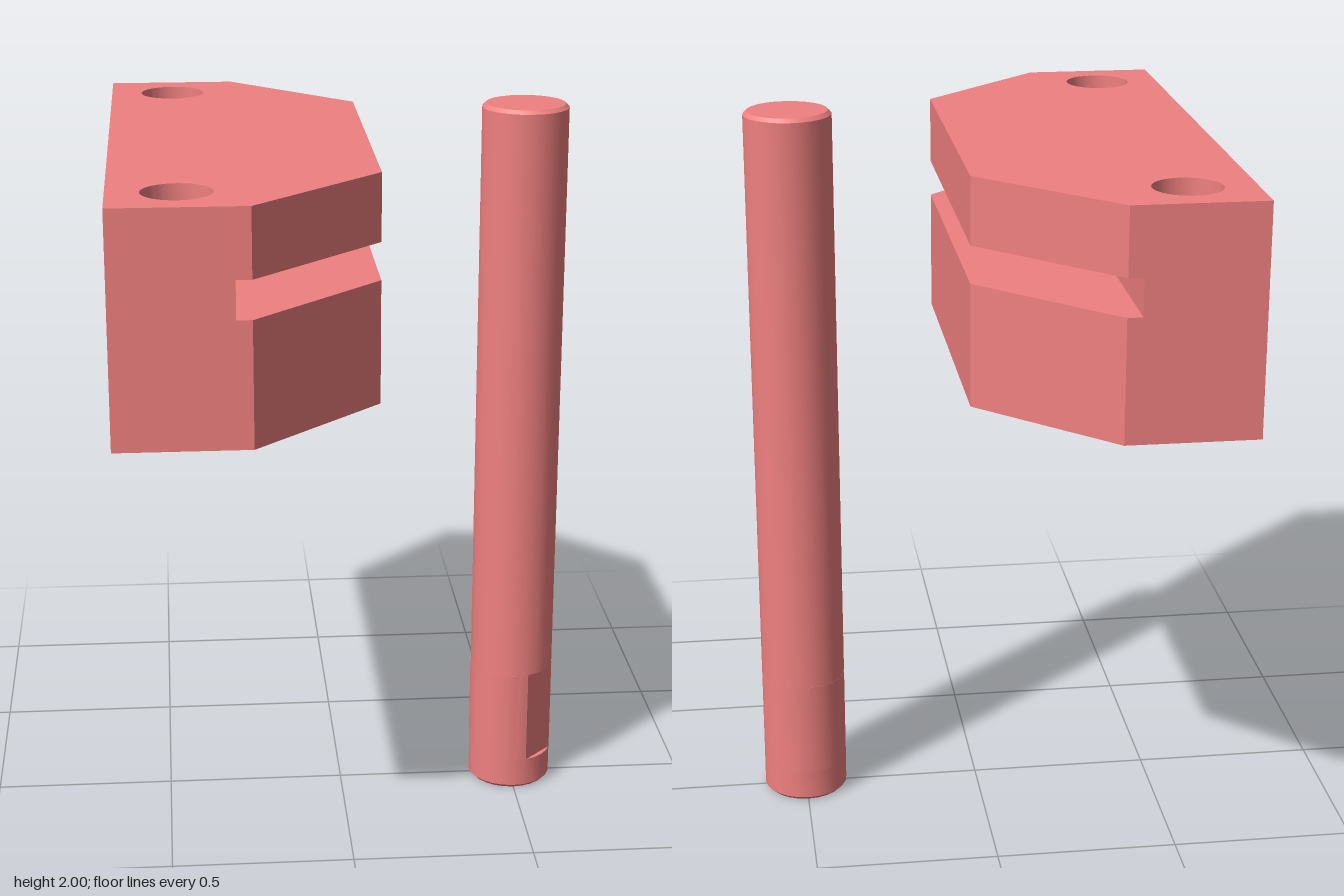
import * as THREE from 'three';
import { toCreasedNormals } from 'three/addons/utils/BufferGeometryUtils.js';

const material = new THREE.MeshStandardMaterial({ color: 0xf08080 });
const BACK = -0.62, FRONT = 0.07, SHOULDER = -0.27, SLOT = -0.31, END = 0.79, NOSE = 0.455;
const POCKET_DEPTH = 0.08;

function addMesh(parent, name, geometry) {
  const mesh = new THREE.Mesh(toCreasedNormals(geometry, 0.5), material);
  mesh.name = name;
  parent.add(mesh);
  return mesh;
}

// Extrudes a plan shape upward from y0 to y1
function slab(shape, y0, y1) {
  const geometry = new THREE.ExtrudeGeometry(shape, {
    depth: y1 - y0, bevelEnabled: false, curveSegments: 24,
  });
  return geometry.rotateX(-Math.PI / 2).translate(0, y0, 0);
}

// Plan of one layer: chamfered or slotted front, optional pockets in the back wall
function layerShape({ slotted = false, pockets = [], blindHoles = false }) {
  const shape = new THREE.Shape();
  shape.moveTo(BACK, -END);
  if (slotted) {
    shape.lineTo(SLOT, -END);
    shape.lineTo(SLOT, END);
  } else {
    shape.lineTo(SHOULDER, -END);
    shape.lineTo(FRONT, -NOSE);
    shape.lineTo(FRONT, NOSE);
    shape.lineTo(SHOULDER, END);
  }
  shape.lineTo(BACK, END);
  for (const [centre, width] of pockets) {
    shape.lineTo(BACK, centre + width / 2);
    shape.lineTo(BACK + POCKET_DEPTH, centre + width / 2);
    shape.lineTo(BACK + POCKET_DEPTH, centre - width / 2);
    shape.lineTo(BACK, centre - width / 2);
  }
  shape.closePath();
  for (const side of [-1, 1]) {
    const holes = [[0.63, 0.09]];
    if (blindHoles) holes.push([0.38, 0.065]);
    for (const [offset, radius] of holes) {
      shape.holes.push(new THREE.Path().absarc(-0.445, side * offset, radius, 0, Math.PI * 2, true));
    }
  }
  return shape;
}

function createBlock() {
  const block = new THREE.Group();
  block.name = 'slottedBlock';
  const large = [[0.49, 0.07], [-0.49, 0.07]];
  const row = [large[0], ...[0.3, 0.15, 0, -0.15, -0.3].map((z) => [z, 0.045]), large[1]];
  const layers = [
    ['lowerJawBase', 1.31, 1.415, { blindHoles: true }],
    ['lowerPocketLayer', 1.415, 1.465, { pockets: large, blindHoles: true }],
    ['lowerJaw', 1.465, 1.64, {}],
    ['slotWeb', 1.64, 1.74, { slotted: true }],
    ['upperJaw', 1.74, 1.81, {}],
    ['upperPocketLayer', 1.81, 1.85, { pockets: row }],
    ['upperJawTop', 1.85, 1.92, {}],
  ];
  for (const [name, y0, y1, options] of layers) {
    addMesh(block, name, slab(layerShape(options), y0, y1));
  }
  return block;
}

function createPin() {
  const pin = new THREE.Group();
  pin.name = 'pin';
  const r = 0.118, c = 0.01, low = 0.09, high = 0.36;
  const lathe = (points) =>
    new THREE.LatheGeometry(points.map(([x, y]) => new THREE.Vector2(x, y)), 24);
  addMesh(pin, 'pinFoot', lathe([[0, 0], [r - c, 0], [r, c], [r, low], [0, low]]));
  addMesh(pin, 'pinShaft', lathe([[0, high], [r, high], [r, 2 - c], [r - c, 2], [0, 2]]));
  // Neck with a shallow flat facing the front right corner
  const half = 0.49, middle = -Math.PI / 4;
  const neck = new THREE.Shape().absarc(0, 0, r, middle + half, middle - half + Math.PI * 2, false);
  neck.closePath();
  addMesh(pin, 'pinFlat', slab(neck, low, high));
  pin.position.x = 0.5;
  return pin;
}

export function createModel() {
  const model = new THREE.Group();
  model.name = 'blockAndPin';
  model.add(createBlock(), createPin());
  return model;
}
